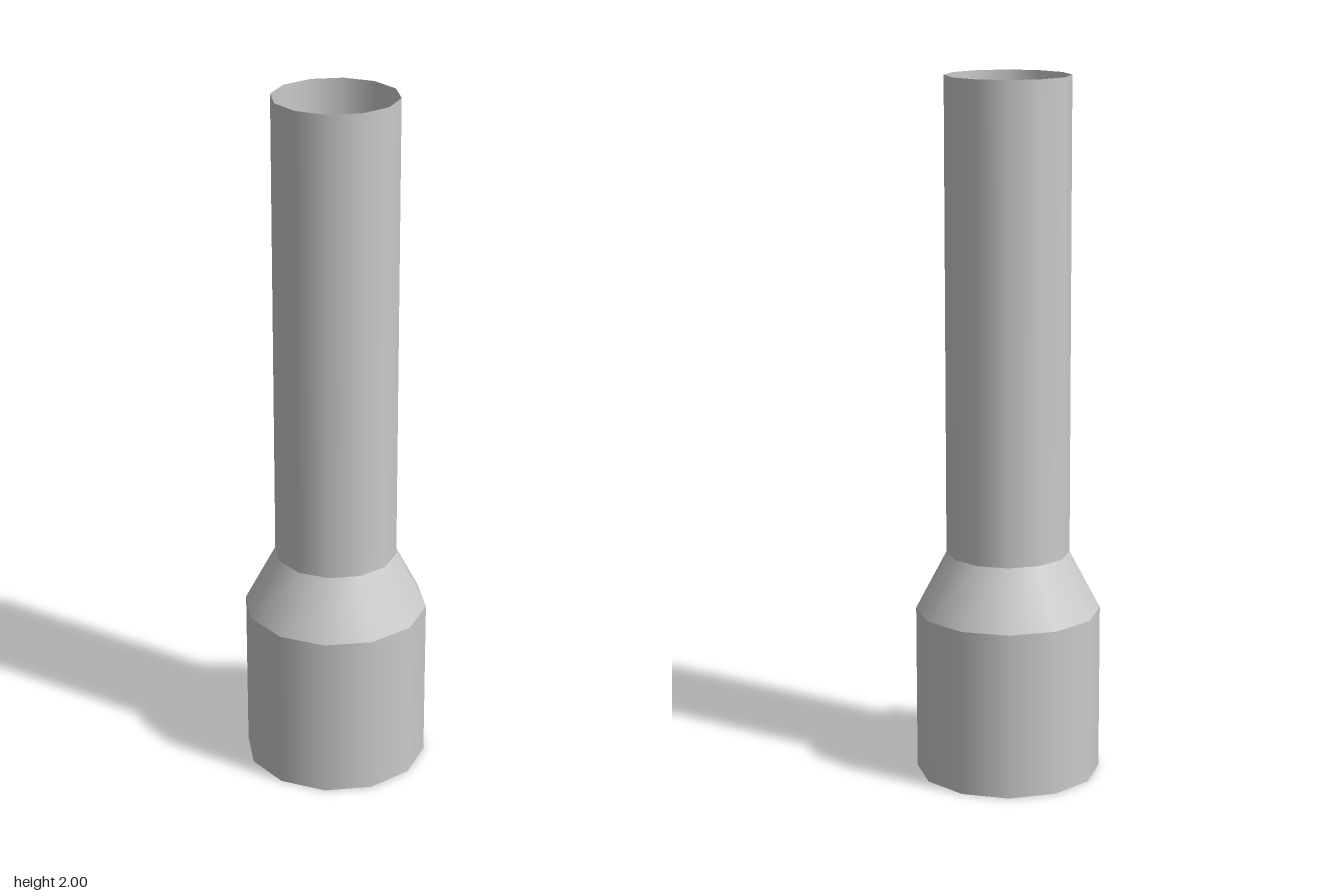
import * as THREE from 'three';

const SIDES = 12;

export function createModel() {
  const group = new THREE.Group();
  group.name = 'steppedTube';
  // Thin open shell, visible inside and out
  const material = new THREE.MeshStandardMaterial({ color: 0xcccccc, side: THREE.DoubleSide });

  // Open-ended ring section between two heights
  const addSection = (name, bottomRadius, topRadius, y0, y1) => {
    const geometry = new THREE.CylinderGeometry(topRadius, bottomRadius, y1 - y0, SIDES, 1, true);
    const mesh = new THREE.Mesh(geometry, material);
    mesh.name = name;
    mesh.position.y = (y0 + y1) / 2;
    group.add(mesh);
  };

  // Separate sections keep the edges between them sharp
  addSection('wideBase', 0.264, 0.264, 0, 0.48);
  addSection('taperedShoulder', 0.264, 0.176, 0.48, 0.648);
  addSection('narrowTube', 0.176, 0.176, 0.648, 2);

  return group;
}
